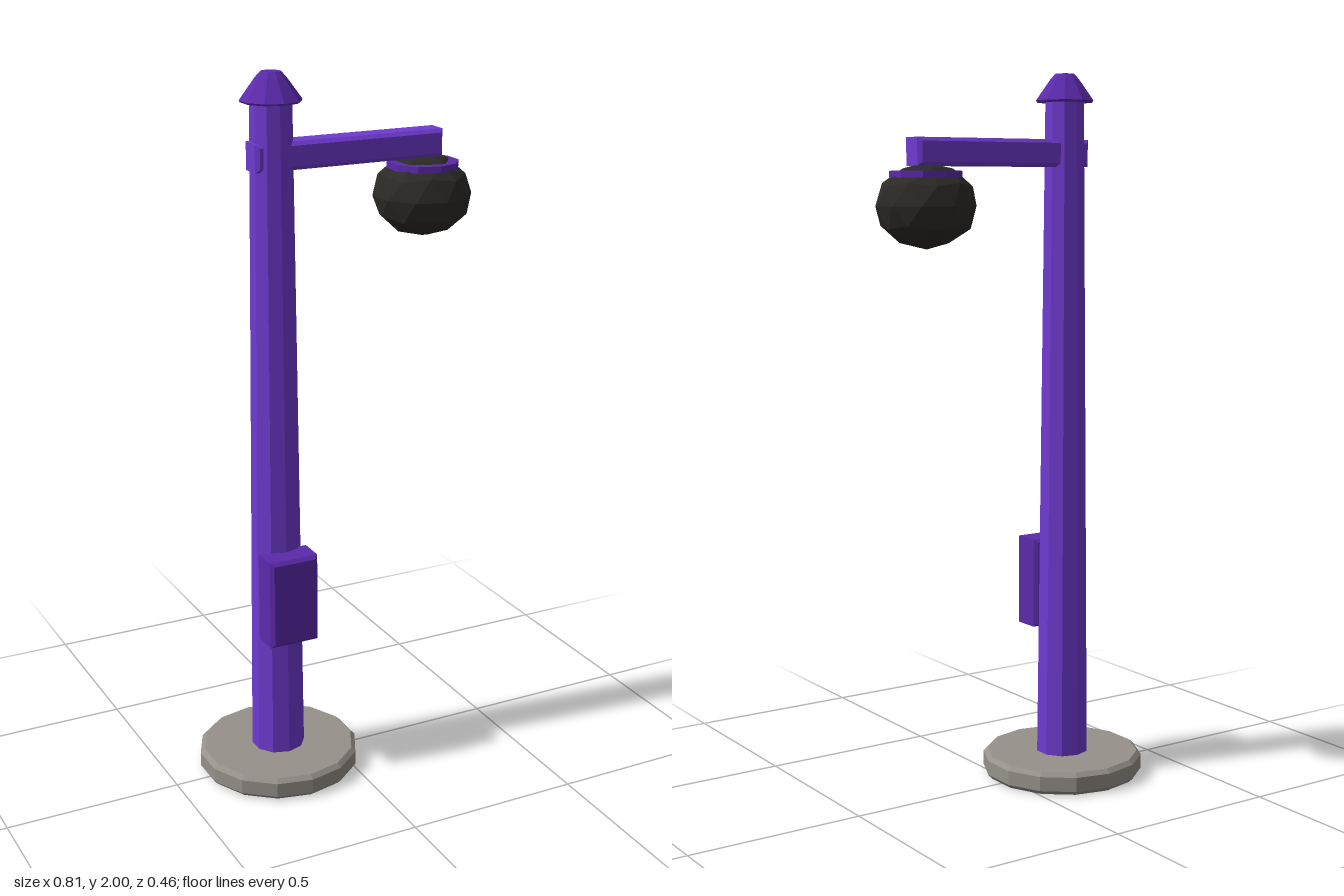
import * as THREE from 'three';

const paint = (color) => new THREE.MeshStandardMaterial({ color, flatShading: true });

// Box with one-step chamfers on every edge, given by its min and max corners
function chamferBox([x0, y0, z0], [x1, y1, z1], c) {
  const w = (x1 - x0) / 2 - c, h = (y1 - y0) / 2 - c, d = z1 - z0 - 2 * c;
  const s = new THREE.Shape();
  s.moveTo(-w, -h).lineTo(w, -h).lineTo(w, h).lineTo(-w, h).closePath();
  const g = new THREE.ExtrudeGeometry(s, {
    depth: d, bevelEnabled: true, bevelSize: c, bevelThickness: c, bevelSegments: 1,
  });
  g.translate((x0 + x1) / 2, (y0 + y1) / 2, z0 + c);
  return g;
}

// Faceted turned solid; profile points are [radius, y] from bottom to top
function turned(points, sides) {
  return new THREE.LatheGeometry(points.map(([r, y]) => new THREE.Vector2(r, y)), sides);
}

export function createModel() {
  const model = new THREE.Group();
  model.name = 'streetLamp';
  const purple = paint(0x6f3ad0), darkPurple = paint(0x5c2aac);
  const stone = paint(0x96918a), black = paint(0x2c2a27);
  const poleX = -0.18, globeX = 0.272;

  const add = (name, geometry, material, x = 0, y = 0) => {
    const mesh = new THREE.Mesh(geometry, material);
    mesh.name = name;
    mesh.position.set(x, y, 0);
    model.add(mesh);
  };

  // Chamfered round foot
  add('base', turned([[0, 0], [0.218, 0], [0.23, 0.012], [0.23, 0.053], [0.218, 0.065], [0, 0.065]], 14),
    stone, poleX);

  // Tapered pole and pointed cap
  add('pole', new THREE.CylinderGeometry(0.056, 0.076, 1.88, 10), purple, poleX, 0.99);
  add('cap', turned([[0, 1.922], [0.08, 1.922], [0.083, 1.927], [0.041, 1.985], [0.027, 2], [0, 2]], 10),
    darkPurple, poleX);

  // Control box on the front of the pole
  add('controlBox', chamferBox([-0.254, 0.43, 0.035], [-0.109, 0.687, 0.128], 0.01), darkPurple);

  // Horizontal arm running through the pole
  add('arm', chamferBox([-0.24, 1.745, -0.038], [0.316, 1.82, 0.038], 0.01), purple);

  // Collar disc around the top of the globe
  add('collar', new THREE.CylinderGeometry(0.1, 0.1, 0.018, 10), darkPurple, globeX, 1.723);

  // Squashed faceted globe, one corner pointing straight up
  const globe = new THREE.IcosahedronGeometry(1, 1);
  globe.rotateZ(-Math.atan(2 / (1 + Math.sqrt(5))));
  globe.scale(0.138, 0.115, 0.138);
  add('globe', globe, black, globeX, 1.64);

  return model;
}
